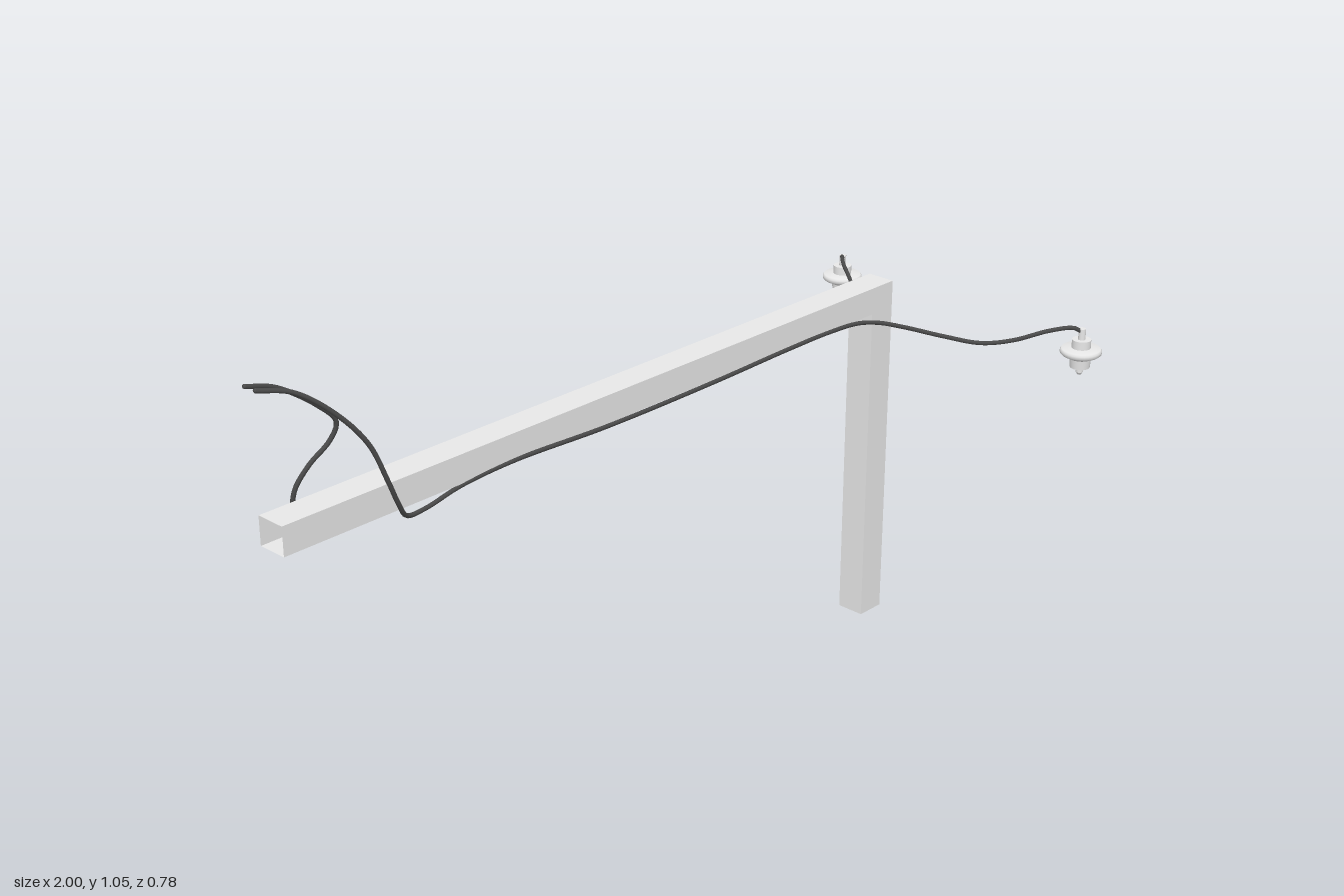
import * as THREE from 'three';

const metal = new THREE.MeshStandardMaterial({ color: 0xe7e7e7, side: THREE.DoubleSide });
metal.name = 'grey metal';
const ceramic = new THREE.MeshStandardMaterial({ color: 0xf6f6f6 });
ceramic.name = 'pale ceramic';
const rubber = new THREE.MeshStandardMaterial({ color: 0x4a4a4a });
rubber.name = 'dark rubber';

const Z_FRONT = 0.019, Z_BACK = -0.046;
const CABLE_RADIUS = 0.0047;

function add(parent, geometry, material, name) {
  const mesh = new THREE.Mesh(geometry, material);
  mesh.name = name;
  parent.add(mesh);
  return mesh;
}

// Flat ribbon spanning the beam depth between two points of its side outline
function ribbon([x0, y0], [x1, y1]) {
  const g = new THREE.BufferGeometry();
  g.setAttribute('position', new THREE.Float32BufferAttribute([
    x0, y0, Z_FRONT, x1, y1, Z_FRONT, x1, y1, Z_BACK, x0, y0, Z_BACK], 3));
  g.setIndex([0, 1, 2, 0, 2, 3]);
  g.computeVertexNormals();
  return g;
}

// Hollow L-shaped frame, open at the arm tip and the post foot
function makeFrame() {
  const frame = new THREE.Group();
  frame.name = 'frame';
  const outer = [[-0.995, 0.8], [0.687, 0.8], [0.687, 0]];
  const inner = [[0.62, 0], [0.62, 0.74], [-0.995, 0.74]];
  const shape = new THREE.Shape([...outer, ...inner].map(p => new THREE.Vector2(...p)));
  const front = add(frame, new THREE.ShapeGeometry(shape), metal, 'frontPlate');
  front.position.z = Z_FRONT;
  const back = add(frame, new THREE.ShapeGeometry(shape), metal, 'backPlate');
  back.position.z = Z_BACK;
  // Reverse the winding so the back plate faces outward
  back.geometry.setIndex([...back.geometry.index.array].reverse());
  back.geometry.computeVertexNormals();
  add(frame, ribbon(outer[0], outer[1]), metal, 'armTop');
  add(frame, ribbon(outer[1], outer[2]), metal, 'postOuterSide');
  add(frame, ribbon(inner[0], inner[1]), metal, 'postInnerSide');
  add(frame, ribbon(inner[1], inner[2]), metal, 'armUnderside');
  return frame;
}

// Insulator: smooth disc with stacked cylinders [name, top radius, bottom radius, top y, bottom y]
function makeInsulator(name, z) {
  const group = new THREE.Group();
  group.name = name;
  const disc = [
    [0.02, 0.631], [0.026, 0.632], [0.034, 0.637], [0.042, 0.64],
    [0.046, 0.644], [0.046, 0.65], [0.043, 0.654], [0.02, 0.656],
  ];
  add(group, new THREE.LatheGeometry(disc.map(p => new THREE.Vector2(...p)), 32), ceramic, 'disc');
  const sections = [
    ['neck', 0.008, 0.008, 0.7, 0.673],
    ['cap', 0.021, 0.021, 0.675, 0.652],
    ['base', 0.024, 0.022, 0.633, 0.61],
    ['pin', 0.008, 0.008, 0.61, 0.598],
    ['pinTip', 0.008, 0.004, 0.598, 0.592],
  ];
  for (const [part, rTop, rBottom, top, bottom] of sections) {
    const mesh = add(group, new THREE.CylinderGeometry(rTop, rBottom, top - bottom, 32), ceramic, part);
    mesh.position.y = (top + bottom) / 2;
  }
  group.position.set(0.953, 0, z);
  return group;
}

// Cable following a smooth path, with closed ends
function makeCable(name, points) {
  const group = new THREE.Group();
  group.name = name;
  const path = points.map(p => new THREE.Vector3(...p));
  const curve = new THREE.CatmullRomCurve3(path);
  add(group, new THREE.TubeGeometry(curve, 200, CABLE_RADIUS, 8), rubber, 'cable');
  for (const end of [path[0], path[path.length - 1]]) {
    add(group, new THREE.SphereGeometry(CABLE_RADIUS, 8, 6), rubber, 'cableEnd').position.copy(end);
  }
  return group;
}

export function createModel() {
  const model = new THREE.Group();
  model.name = 'cableSupport';
  model.add(makeFrame());
  model.add(makeInsulator('frontInsulator', 0.342), makeInsulator('backInsulator', -0.342));

  model.add(makeCable('frontCable', [
    [-0.995, 1.043, -0.026], [-0.93, 1.025, -0.008], [-0.86, 0.97, 0.016],
    [-0.805, 0.9, 0.034], [-0.773, 0.82, 0.043], [-0.745, 0.76, 0.037],
    [-0.72, 0.727, 0.027], [-0.67, 0.722, 0.02], [-0.58, 0.736, 0.017],
    [-0.45, 0.744, 0.019], [-0.2, 0.738, 0.024], [0.1, 0.738, 0.024],
    [0.35, 0.741, 0.021], [0.48, 0.74, 0.02], [0.57, 0.735, 0.024],
    [0.62, 0.726, 0.04], [0.67, 0.71, 0.073], [0.735, 0.686, 0.13],
    [0.79, 0.671, 0.19], [0.84, 0.677, 0.24], [0.895, 0.699, 0.296],
    [0.937, 0.703, 0.332], [0.953, 0.69, 0.342],
  ]));

  model.add(makeCable('backCable', [
    [-0.995, 1.042, -0.056], [-0.93, 1.02, -0.058], [-0.85, 0.965, -0.05],
    [-0.81, 0.92, -0.047], [-0.82, 0.883, -0.057], [-0.86, 0.845, -0.069],
    [-0.888, 0.8, -0.08], [-0.885, 0.757, -0.088], [-0.85, 0.738, -0.086],
    [-0.78, 0.734, -0.08], [-0.67, 0.733, -0.071], [-0.5, 0.741, -0.062],
    [-0.3, 0.741, -0.056], [-0.05, 0.738, -0.053], [0.25, 0.741, -0.058],
    [0.45, 0.742, -0.059], [0.55, 0.73, -0.062], [0.62, 0.707, -0.074],
    [0.7, 0.676, -0.102], [0.77, 0.66, -0.146], [0.82, 0.666, -0.192],
    [0.865, 0.687, -0.246], [0.905, 0.7, -0.3], [0.938, 0.703, -0.332],
    [0.953, 0.69, -0.342],
  ]));
  return model;
}
